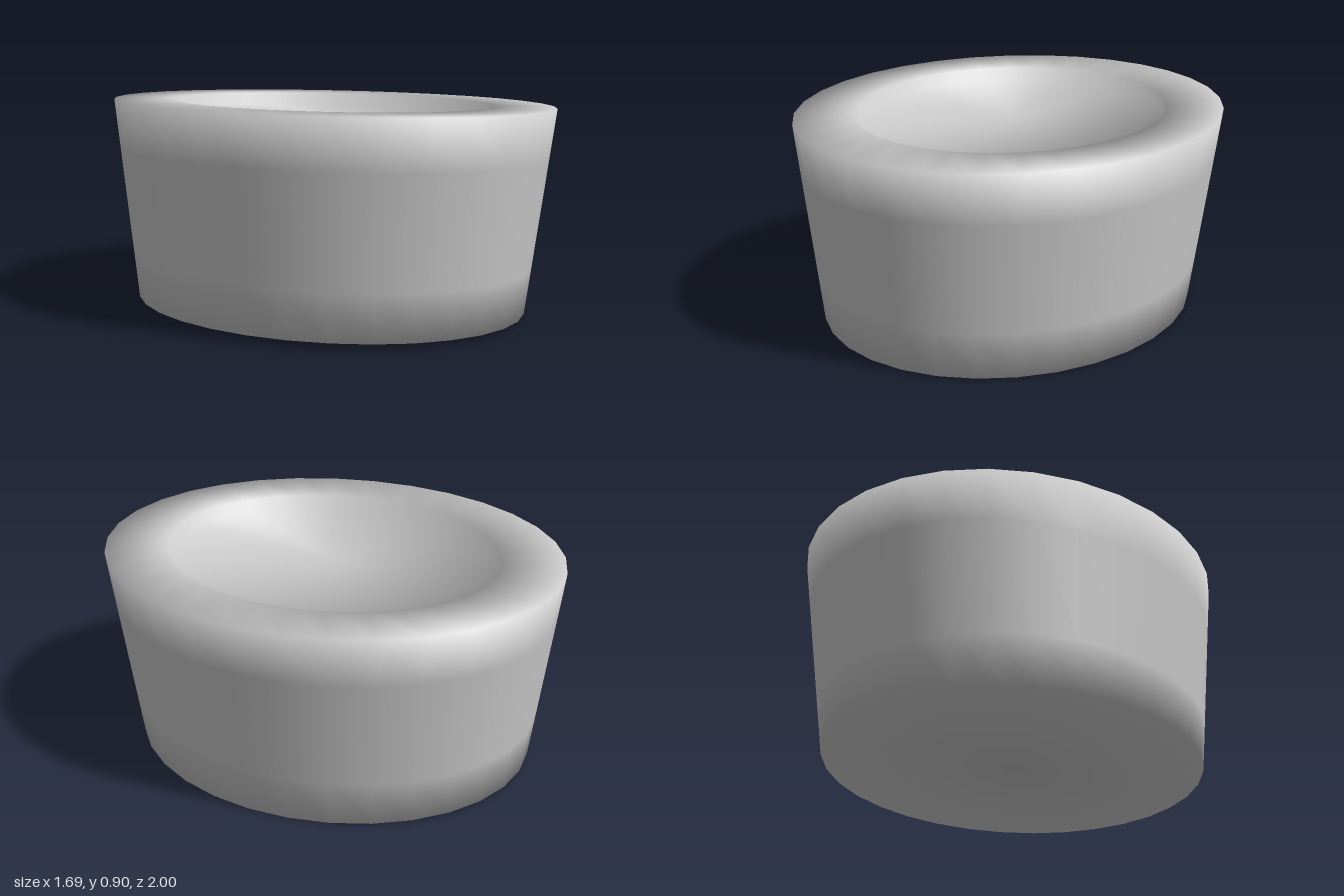
import * as THREE from 'three';

// Slightly tilted oval tub with a flat rim and a shallow recessed top
export function createModel() {
  const group = new THREE.Group();
  group.name = 'ovalTub';

  const height = 0.865, baseR = 0.89, topR = 1, innerR = 0.728, recess = 0.055;
  const wall = (t) => new THREE.Vector2(baseR + (topR - baseR) * t, height * t);

  // Profile: underside, flaring wall, flat rim, short step, recessed floor
  const profile = [
    new THREE.Vector2(0, 0),
    wall(0), wall(0.23), wall(0.76), wall(1),
    new THREE.Vector2(innerR, height),
    new THREE.Vector2(innerR, height - recess),
    new THREE.Vector2(0, height - recess),
  ];
  const segments = 32;
  const geometry = new THREE.LatheGeometry(profile, segments);

  // Soft corners: each ring's normal is the even average of its two neighbouring bands
  const bands = profile.slice(1).map((p, j) => {
    const d = p.clone().sub(profile[j]).normalize();
    return new THREE.Vector2(d.y, -d.x);
  });
  const normals = profile.map((p, j) =>
    (bands[j - 1] ?? bands[j]).clone().add(bands[j] ?? bands[j - 1]).normalize());
  for (let i = 0; i <= segments; i++) {
    const a = (i / segments) * Math.PI * 2;
    normals.forEach((n, j) => geometry.attributes.normal.setXYZ(
      i * profile.length + j, n.x * Math.sin(a), n.y, n.x * Math.cos(a)));
  }

  // Oval plan
  geometry.scale(0.847, 1, 1);

  const tub = new THREE.Mesh(
    geometry,
    new THREE.MeshStandardMaterial({ color: 0xcccccc, side: THREE.DoubleSide })
  );
  tub.name = 'tub';

  // Lean towards +x, lowest edge resting on the ground
  tub.rotation.z = -0.021;
  tub.position.set(-0.018, 0.017, 0);
  group.add(tub);
  return group;
}
